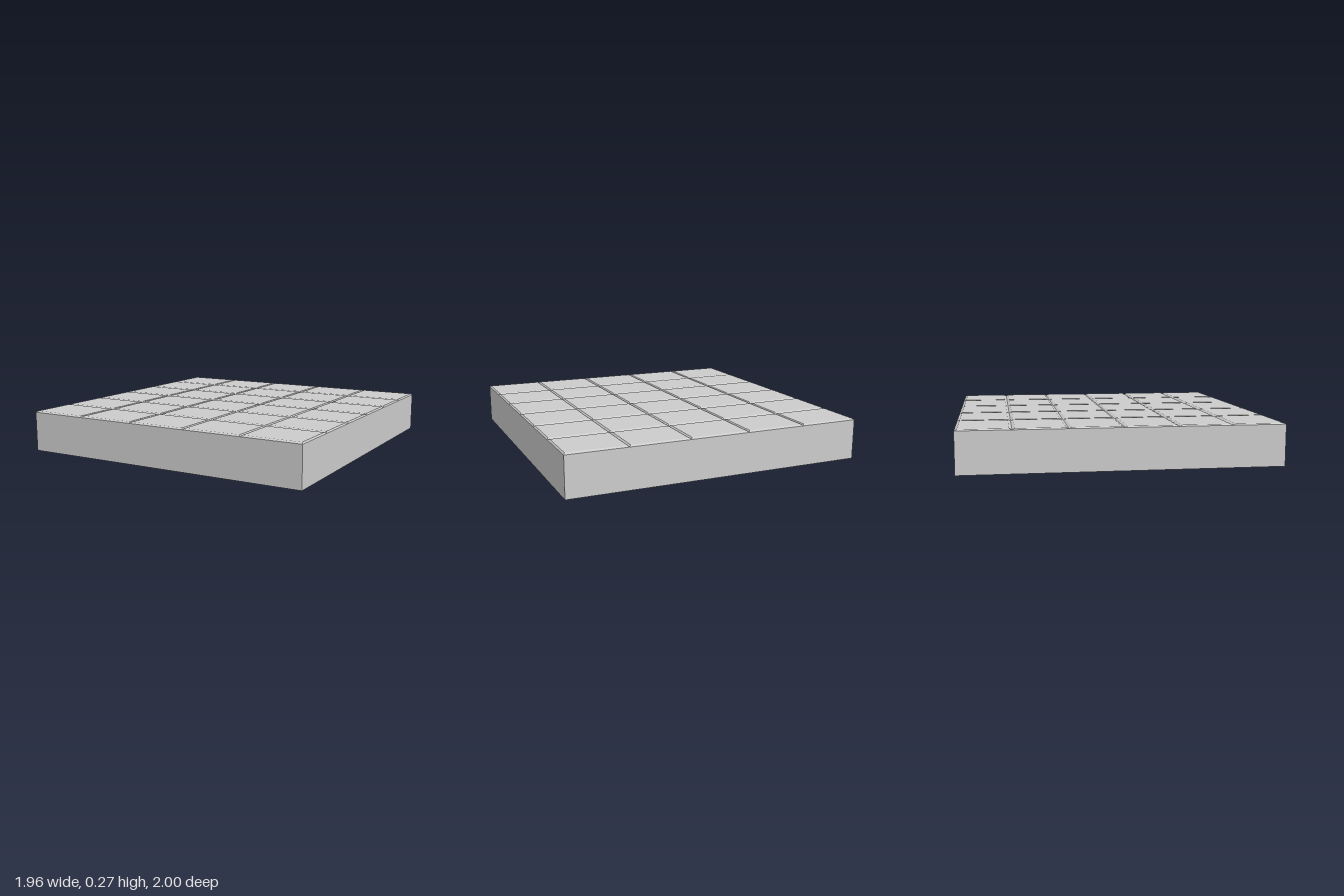
import * as THREE from 'three';

const WIDTH = 1.964, DEPTH = 2, HEIGHT = 0.27;
const COLS = 5, ROWS = 6;
const GROOVE = 0.008, BEVEL_X = 0.01, BEVEL_Z = 0.017;

// Shallow tile cap: a box whose top face is pulled in to form bevels
function tileGeometry(w, d) {
  const geo = new THREE.BoxGeometry(w, GROOVE, d);
  const p = geo.attributes.position;
  for (let i = 0; i < p.count; i++) {
    if (p.getY(i) <= 0) continue;
    p.setX(i, p.getX(i) - Math.sign(p.getX(i)) * BEVEL_X);
    p.setZ(i, p.getZ(i) - Math.sign(p.getZ(i)) * BEVEL_Z);
  }
  geo.computeVertexNormals();
  return geo;
}

export function createModel() {
  const group = new THREE.Group();
  group.name = 'tiledSlab';
  const material = new THREE.MeshStandardMaterial({ color: 0xcccccc, flatShading: true });

  // Solid base up to the bottom of the grooves
  const baseHeight = HEIGHT - GROOVE;
  const base = new THREE.Mesh(new THREE.BoxGeometry(WIDTH, baseHeight, DEPTH), material);
  base.name = 'base';
  base.position.y = baseHeight / 2;
  group.add(base);

  // Grid of bevelled tiles; neighbouring bevels form the V grooves
  const w = WIDTH / COLS, d = DEPTH / ROWS;
  const geo = tileGeometry(w, d);
  const tiles = new THREE.Group();
  tiles.name = 'tiles';
  for (let r = 0; r < ROWS; r++) {
    for (let c = 0; c < COLS; c++) {
      const tile = new THREE.Mesh(geo, material);
      tile.name = `tile_${r + 1}_${c + 1}`;
      tile.position.set((c + 0.5) * w - WIDTH / 2, HEIGHT - GROOVE / 2, (r + 0.5) * d - DEPTH / 2);
      tiles.add(tile);
    }
  }
  group.add(tiles);
  return group;
}
